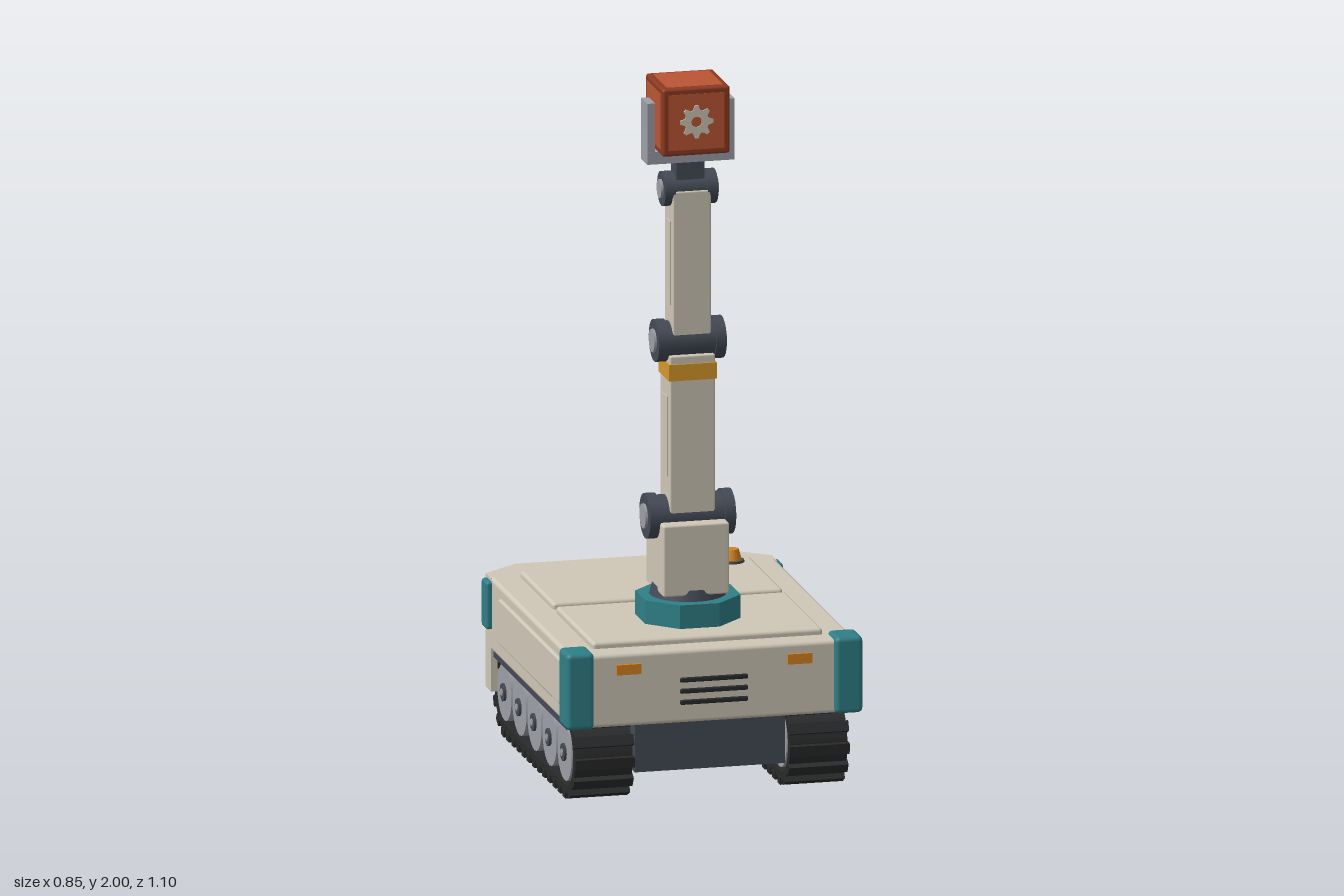
import * as THREE from 'three';
import { RoundedBoxGeometry } from 'three/addons/geometries/RoundedBoxGeometry.js';

const mat = (name, color) => Object.assign(new THREE.MeshStandardMaterial({ color }), { name });
const M = {
  beige: mat('warm beige shell', 0xcfc7b6),
  teal: mat('teal trim', 0x2f7f87),
  slate: mat('slate metal', 0x444a56),
  black: mat('black rubber', 0x292a2b),
  steel: mat('light steel', 0x9c9fa6),
  yellow: mat('safety yellow', 0xd6982c),
  amber: mat('amber lamp', 0xd58320),
  red: mat('cargo red', 0xba5533),
  darkRed: mat('cargo frame', 0x8c3a21),
};
const ARM_Z = 0.24;

export function createModel() {
  const root = new THREE.Group();
  root.name = 'trackedRobot';

  const add = (name, geo, material, x = 0, y = 0, z = 0, parent = root) => {
    const m = new THREE.Mesh(geo, material);
    m.name = name;
    m.position.set(x, y, z);
    parent.add(m);
    return m;
  };
  // Box given by its extents on each axis, optionally rounded
  const box = (name, material, [x0, x1], [y0, y1], [z0, z1], r = 0, parent = root) => {
    const s = [x1 - x0, y1 - y0, z1 - z0];
    const geo = r ? new RoundedBoxGeometry(...s, 2, r) : new THREE.BoxGeometry(...s);
    return add(name, geo, material, (x0 + x1) / 2, (y0 + y1) / 2, (z0 + z1) / 2, parent);
  };
  const mirrorBox = (name, material, [x0, x1], y, z, r, parent) => {
    box(name + 'Left', material, [x0, x1], y, z, r, parent);
    box(name + 'Right', material, [-x1, -x0], y, z, r, parent);
  };
  const cylX = (r, len, seg = 20) => new THREE.CylinderGeometry(r, r, len, seg).rotateZ(Math.PI / 2);
  const cylZ = (r, len, seg = 20) => new THREE.CylinderGeometry(r, r, len, seg).rotateX(Math.PI / 2);

  // Hull
  box('hull', M.beige, [-0.41, 0.41], [0.23, 0.44], [-0.39, 0.535], 0.012);
  box('underbody', M.slate, [-0.215, 0.215], [0.085, 0.25], [-0.4, 0.49]);
  mirrorBox('fender', M.slate, [0.2, 0.403], [0.212, 0.235], [-0.38, 0.46]);
  box('frontDeckPlate', M.beige, [-0.33, 0.33], [0.43, 0.458], [0.045, 0.465], 0.01);
  box('rearDeckPlate', M.beige, [-0.33, 0.33], [0.43, 0.458], [-0.36, 0.015], 0.01);
  mirrorBox('sidePanel', M.beige, [0.4, 0.42], [0.28, 0.41], [-0.25, 0.434], 0.006);
  mirrorBox('frontCornerGuard', M.teal, [0.345, 0.425], [0.23, 0.45], [0.452, 0.55], 0.014);
  mirrorBox('rearCornerGuard', M.teal, [0.38, 0.426], [0.293, 0.43], [-0.418, -0.358], 0.008);
  mirrorBox('frontLamp', M.amber, [0.21, 0.28], [0.381, 0.41], [0.53, 0.544]);
  for (const y of [0.29, 0.322, 0.354]) {
    box('frontVent', M.black, [-0.097, 0.097], [y - 0.007, y + 0.007], [0.53, 0.541], 0.004);
  }

  // Rear sensor head with chamfered corners
  const plan = new THREE.Shape([[-0.41, 0.37], [0.41, 0.37], [0.41, 0.43], [0.305, 0.512],
    [-0.305, 0.512], [-0.41, 0.43]].map(([x, y]) => new THREE.Vector2(x, y)));
  add('sensorHead', new THREE.ExtrudeGeometry(plan, { depth: 0.325, bevelEnabled: false })
    .rotateX(-Math.PI / 2), M.beige, 0, 0.112, 0);
  box('visor', M.teal, [-0.3, 0.3], [0.348, 0.428], [-0.528, -0.5], 0.008);
  box('sensorPanel', M.black, [-0.25, 0.25], [0.185, 0.348], [-0.518, -0.5]);
  box('rearBumper', M.yellow, [-0.265, 0.265], [0.113, 0.178], [-0.541, -0.5], 0.01);
  box('bumperPlate', M.yellow, [-0.075, 0.075], [0.127, 0.163], [-0.552, -0.53], 0.005);
  box('bumperSlot', M.amber, [-0.05, 0.05], [0.138, 0.152], [-0.554, -0.55]);
  for (const s of [-1, 1]) {
    add('bumperBolt', cylZ(0.013, 0.025, 10), M.slate, s * 0.2, 0.146, -0.541);
    add('eyeHousing', cylZ(0.058, 0.026, 24), M.slate, s * 0.125, 0.268, -0.524);
    add('eyeRing', new THREE.TorusGeometry(0.045, 0.006, 8, 24), M.steel, s * 0.125, 0.268, -0.537);
    add('eyeLens', cylZ(0.036, 0.006, 24), M.black, s * 0.125, 0.268, -0.539);
  }

  // Warning beacon
  add('beaconBase', new THREE.CylinderGeometry(0.033, 0.036, 0.025, 20), M.slate, 0.267, 0.452, -0.31);
  add('beaconLamp', new THREE.CylinderGeometry(0.018, 0.027, 0.032, 16), M.amber, 0.267, 0.479, -0.31);

  // Tracks: stadium belt, tread pads and five wheels on each side
  const zF = 0.39, zR = -0.29, axleY = 0.13, span = zF - zR, width = 0.165;
  const stadium = (path, r) => {
    path.absarc(span / 2, 0, r, -Math.PI / 2, Math.PI / 2, false);
    path.absarc(-span / 2, 0, r, Math.PI / 2, Math.PI * 1.5, false);
    path.closePath();
    return path;
  };
  const belt = stadium(new THREE.Shape(), 0.115);
  belt.holes.push(stadium(new THREE.Path(), 0.093));
  const beltGeo = new THREE.ExtrudeGeometry(belt, { depth: width, bevelEnabled: false, curveSegments: 16 })
    .translate(0, 0, -width / 2).rotateY(Math.PI / 2);
  const padGeo = new THREE.BoxGeometry(width + 0.006, 0.022, 0.03);
  const arc = Math.PI * 0.115, loop = 2 * (span + arc), pads = 36;
  const makeTrack = (side) => {
    const g = new THREE.Group();
    g.name = side > 0 ? 'leftTrack' : 'rightTrack';
    g.position.set(side * 0.308, axleY, (zF + zR) / 2);
    root.add(g);
    add('belt', beltGeo, M.black, 0, 0, 0, g);
    box('trackCore', M.black, [-0.045, 0.045], [-0.094, 0.094], [-span / 2, span / 2], 0, g);
    for (let i = 0; i < pads; i++) {
      let d = (i / pads) * loop, z, y, a;  // a = outward angle, 0 pointing up
      if (d < span) { z = d - span / 2; y = 0.119; a = 0; }
      else if (d < span + arc) {
        a = (d - span) / 0.115; z = span / 2 + 0.119 * Math.sin(a); y = 0.119 * Math.cos(a);
      } else if (d < 2 * span + arc) { z = span / 2 - (d - span - arc); y = -0.119; a = Math.PI; }
      else {
        a = Math.PI + (d - 2 * span - arc) / 0.115;
        z = -span / 2 + 0.119 * Math.sin(a); y = 0.119 * Math.cos(a);
      }
      add('treadPad', padGeo, M.black, 0, y, z, g).rotation.x = a;
    }
    for (let i = 0; i < 5; i++) {
      const z = -span / 2 + (span * i) / 4;
      add('wheel', cylX(0.081, width + 0.002, 20), M.steel, 0, 0, z, g);
      add('wheelHub', cylX(0.026, width + 0.016, 8), M.slate, 0, 0, z, g);
      add('wheelCap', cylX(0.011, width + 0.022, 8), M.steel, 0, 0, z, g);
    }
  };
  makeTrack(1);
  makeTrack(-1);

  // Arm
  const arm = new THREE.Group();
  arm.name = 'arm';
  arm.position.z = ARM_Z;
  root.add(arm);
  add('turntable', new THREE.CylinderGeometry(0.148, 0.148, 0.075, 8).rotateY(Math.PI / 8)
    .toNonIndexed(), M.teal, 0, 0.488, 0, arm).geometry.computeVertexNormals();
  add('turntableRing', new THREE.CylinderGeometry(0.1, 0.108, 0.032, 28), M.slate, 0, 0.54, 0, arm);
  box('shoulderPost', M.beige, [-0.095, 0.095], [0.54, 0.745], [-0.098, 0.098], 0.006, arm);
  box('lowerArm', M.beige, [-0.065, 0.065], [0.75, 1.22], [-0.055, 0.055], 0.005, arm);
  box('armBand', M.yellow, [-0.069, 0.069], [1.15, 1.197], [-0.06, 0.06], 0, arm);
  box('upperArm', M.beige, [-0.055, 0.055], [1.25, 1.69], [-0.048, 0.048], 0.005, arm);
  mirrorBox('lowerArmPanel', M.beige, [0.06, 0.068], [0.87, 1.1], [-0.03, 0.03], 0, arm);
  mirrorBox('upperArmPanel', M.beige, [0.05, 0.058], [1.36, 1.6], [-0.025, 0.025], 0, arm);
  const joint = (name, y, r, half) => {
    add(name, cylX(r * 0.9, half * 2 - 0.02, 20), M.slate, 0, y, 0, arm);
    for (const s of [-1, 1]) {
      add(name + 'Collar', cylX(r, 0.03, 20), M.slate, s * (half - 0.02), y, 0, arm);
      add(name + 'Cap', cylX(r * 0.55, 0.01, 20), M.steel, s * (half - 0.003), y, 0, arm);
    }
  };
  joint('shoulderJoint', 0.753, 0.064, 0.128);
  joint('elbowJoint', 1.255, 0.06, 0.102);
  joint('wristJoint', 1.69, 0.049, 0.081);

  // Gripper fork
  box('wristNeck', M.slate, [-0.04, 0.04], [1.7, 1.775], [-0.032, 0.032], 0, arm);
  box('gripperBase', M.steel, [-0.125, 0.125], [1.77, 1.806], [-0.036, 0.036], 0, arm);
  mirrorBox('gripperFinger', M.steel, [0.103, 0.125], [1.77, 1.945], [-0.035, 0.035], 0, arm);

  // Held cube with inset-coloured panels on all faces and a gear emblem front and back
  const cube = new THREE.Group();
  cube.name = 'cargoCube';
  cube.position.y = 1.902;
  arm.add(cube);
  add('cubeFrame', new RoundedBoxGeometry(0.194, 0.194, 0.194, 2, 0.008), M.darkRed, 0, 0, 0, cube);
  const p = 0.08, o = 0.098;
  box('cubePanelsX', M.red, [-o, o], [-p, p], [-p, p], 0, cube);
  box('cubePanelsY', M.red, [-p, p], [-o, o], [-p, p], 0, cube);
  box('cubePanelsZ', M.red, [-p, p], [-p, p], [-o, o], 0, cube);
  const gear = new THREE.Shape();
  for (let i = 0; i < 32; i++) {
    const a = ((i - 0.5) / 32) * Math.PI * 2, r = i % 4 < 2 ? 0.048 : 0.035;
    gear[i ? 'lineTo' : 'moveTo'](r * Math.cos(a), r * Math.sin(a));
  }
  gear.closePath();
  gear.holes.push(new THREE.Path().absarc(0, 0, 0.015, 0, Math.PI * 2, true));
  const gearGeo = new THREE.ExtrudeGeometry(gear, { depth: 0.005, bevelEnabled: false });
  add('gearEmblemFront', gearGeo, M.beige, 0, 0, 0.097, cube);
  add('gearEmblemBack', gearGeo, M.beige, 0, 0, -0.097, cube).rotation.y = Math.PI;

  return root;
}
